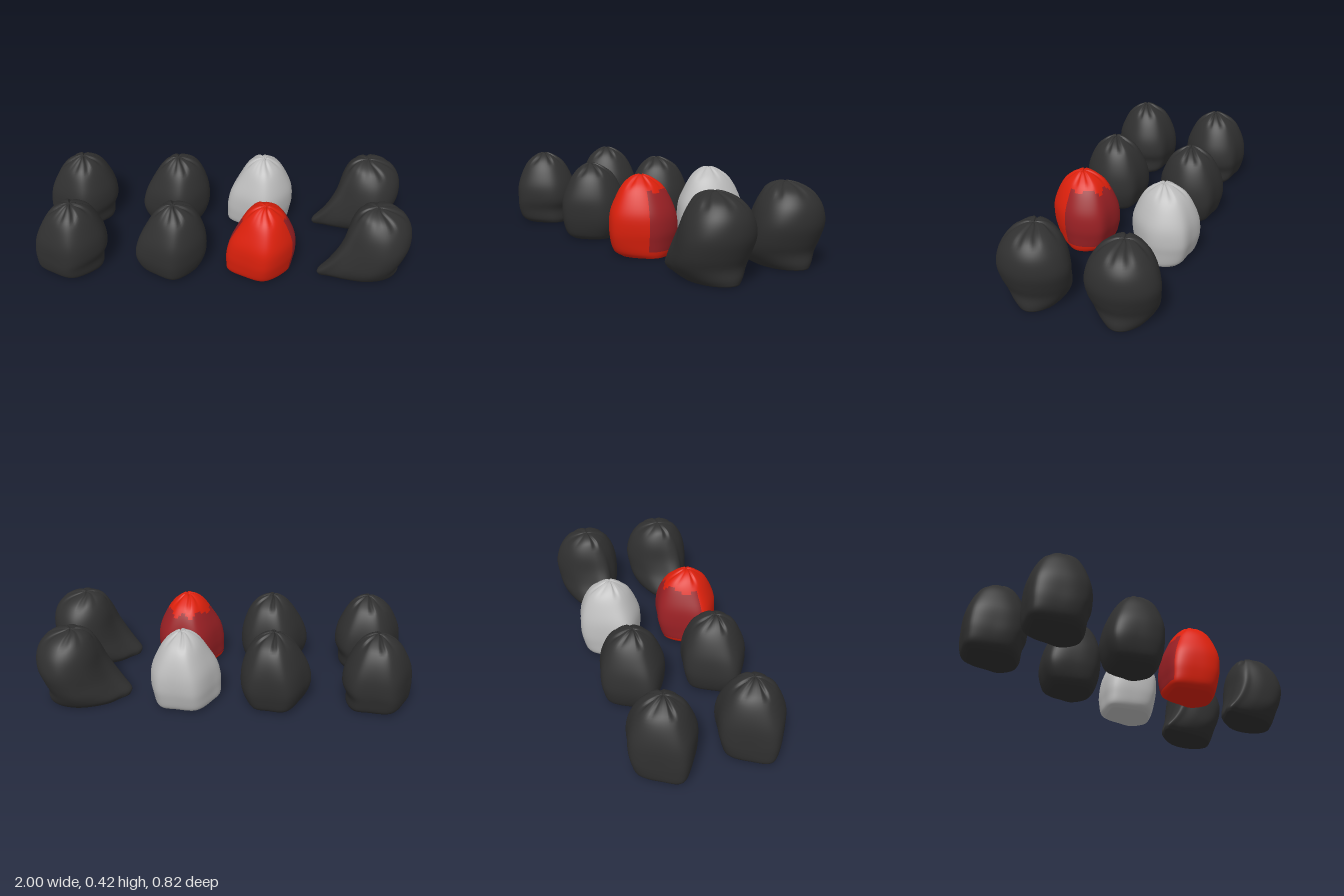
import * as THREE from 'three';

const material = (name, color) => {
  const m = new THREE.MeshStandardMaterial({ color });
  m.name = name;
  return m;
};

// Plan outlines scaled to -1..1 as [x, z], running left, back, right, front
const SQUARE = [[-1, .28], [-.8, -.31], [-.32, -1], [.3, -.93], [.77, -.8], [.99, -.17], [.87, .31], [.13, .98], [-.52, .71]];
const TEARDROP = [[-1, .47], [-.99, .22], [-.81, -.1], [-.48, -.64], [.15, -1], [.58, -.88], [.9, -.47], [1, 0],
  [.88, .47], [.57, .85], [.15, .98], [-.38, .8], [-.77, .58]];

// Heights with the x and z extents of each cross-section
const ROUND = {
  plan: SQUARE, rounding: 0.6, wrinkle: 0.008,
  y: [0, .025, .08, .14, .22, .30, .36, .395, .414, .416],
  z0: [-.12, -.15, -.168, -.178, -.174, -.15, -.115, -.07, -.03, -.006],
  z1: [.11, .145, .165, .174, .17, .14, .105, .065, .03, .006],
};
const SHAPES = {
  broad: { ...ROUND,
    x0: [-.15, -.182, -.19, -.19, -.178, -.143, -.104, -.06, -.02, .005],
    x1: [.15, .16, .163, .186, .18, .15, .115, .08, .04, .02] },
  narrow: { ...ROUND,
    x0: [-.125, -.16, -.187, -.193, -.172, -.13, -.09, -.055, -.02, .005],
    x1: [.13, .15, .175, .186, .181, .157, .125, .085, .04, .02] },
  plain: { ...ROUND, wrinkle: 0.004,
    x0: [-.155, -.183, -.187, -.186, -.168, -.125, -.088, -.055, -.02, .01],
    x1: [.155, .165, .175, .184, .178, .145, .108, .07, .04, .025] },
  lounger: { plan: TEARDROP, rounding: 0.8, wrinkle: 0.004,
    y: [0, .03, .08, .14, .22, .30, .36, .395, .416, .42],
    x0: [-.235, -.243, -.205, -.165, -.125, -.098, -.07, -.045, -.005, .04],
    x1: [.19, .195, .193, .215, .238, .232, .2, .155, .09, .055],
    z0: [-.115, -.14, -.165, -.178, -.187, -.167, -.13, -.09, -.045, -.006],
    z1: [.11, .14, .17, .185, .187, .165, .13, .095, .045, .006] },
};

const SIDES = 80, ROWS = 36;

// Skin a bag over its cross-sections; isPanel picks the faces of a second colour
function bagGeometry(shape, isPanel) {
  const plan = new THREE.CatmullRomCurve3(shape.plan.map(([x, z]) => new THREE.Vector3(x, 0, z)), true).getPoints(SIDES);
  const spline = (lo, hi) => new THREE.CatmullRomCurve3(
    shape.y.map((y, i) => new THREE.Vector3(y, lo[i], hi[i])), false, 'catmullrom', 0.5);
  const xs = spline(shape.x0, shape.x1), zs = spline(shape.z0, shape.z1);
  const positions = [], main = [], panel = [];

  for (let r = 0; r <= ROWS; r++) {
    const a = xs.getPoint(r / ROWS), b = zs.getPoint(r / ROWS);
    const blend = shape.rounding * THREE.MathUtils.smoothstep(a.x, 0.08, 0.40);
    const gather = THREE.MathUtils.smoothstep(a.x, 0.34, 0.41);
    for (let k = 0; k < SIDES; k++) {
      const p = plan[k], angle = Math.atan2(p.z, p.x);
      const px = THREE.MathUtils.lerp(p.x, Math.cos(angle), blend);
      const pz = THREE.MathUtils.lerp(p.z, Math.sin(angle), blend);
      // gathered folds around the crown
      const fold = gather * Math.max(0, Math.sin(angle * 7) + 0.6 * Math.sin(angle * 11 + 1));
      const s = 1 - 0.06 * fold;
      positions.push(
        (a.y + a.z) / 2 + px * s * (a.z - a.y) / 2,
        Math.max(0, a.x - shape.wrinkle * fold),
        (b.y + b.z) / 2 + pz * s * (b.z - b.y) / 2);
    }
  }
  // side faces
  for (let r = 0; r < ROWS; r++) {
    for (let k = 0; k < SIDES; k++) {
      const n = (k + 1) % SIDES;
      const a = r * SIDES + k, b = r * SIDES + n, c = a + SIDES, d = b + SIDES;
      const list = isPanel && isPanel(positions[a * 3 + 1], plan[k]) ? panel : main;
      list.push(a, c, b, b, c, d);
    }
  }
  // crown and base caps
  const crown = positions.length / 3, top = ROWS * SIDES;
  const last = shape.y.length - 1;
  positions.push((shape.x0[last] + shape.x1[last]) / 2, shape.y[last] - 0.003, 0);
  positions.push(0, 0, 0);
  for (let k = 0; k < SIDES; k++) {
    const n = (k + 1) % SIDES;
    main.push(top + k, crown, top + n, k, n, crown + 1);
  }

  const g = new THREE.BufferGeometry();
  g.setAttribute('position', new THREE.Float32BufferAttribute(positions, 3));
  g.setIndex([...main, ...panel]);
  g.addGroup(0, main.length, 0);
  if (panel.length) g.addGroup(main.length, panel.length, 1);
  g.computeVertexNormals();
  return g;
}

export function createModel() {
  const black = material('charcoal fabric', 0x303030);
  const red = material('red fabric', 0xdc200c);
  const maroon = material('maroon fabric', 0x9a2024);
  const grey = material('light grey fabric', 0xbcbcbc);
  const model = new THREE.Group();
  model.name = 'beanBags';

  const add = (name, geometry, mat, x, z) => {
    const mesh = new THREE.Mesh(geometry, mat);
    mesh.name = name;
    mesh.position.set(x, 0, z);
    model.add(mesh);
  };

  const broad = bagGeometry(SHAPES.broad);
  const narrow = bagGeometry(SHAPES.narrow);
  const lounger = bagGeometry(SHAPES.lounger);

  // matching black bags in a front and a back row
  for (const [row, z] of [['front', 0.225], ['back', -0.228]]) {
    add(row + 'BroadBag', broad, black, -0.81, z);
    add(row + 'NarrowBag', narrow, black, -0.27, z);
    add(row + 'LoungerBag', lounger, black, 0.76, z);
  }

  // coloured bags; the red one has a darker panel around its back
  const backPanel = (y, p) => p.z < 0.25 && y > 0.03 && y < 0.325 + 0.012 * Math.sin(p.x * 9);
  add('frontRedBag', bagGeometry(SHAPES.plain, backPanel), [red, maroon], 0.21, 0.225);
  add('backGreyBag', bagGeometry(SHAPES.plain), grey, 0.21, -0.228);
  return model;
}
